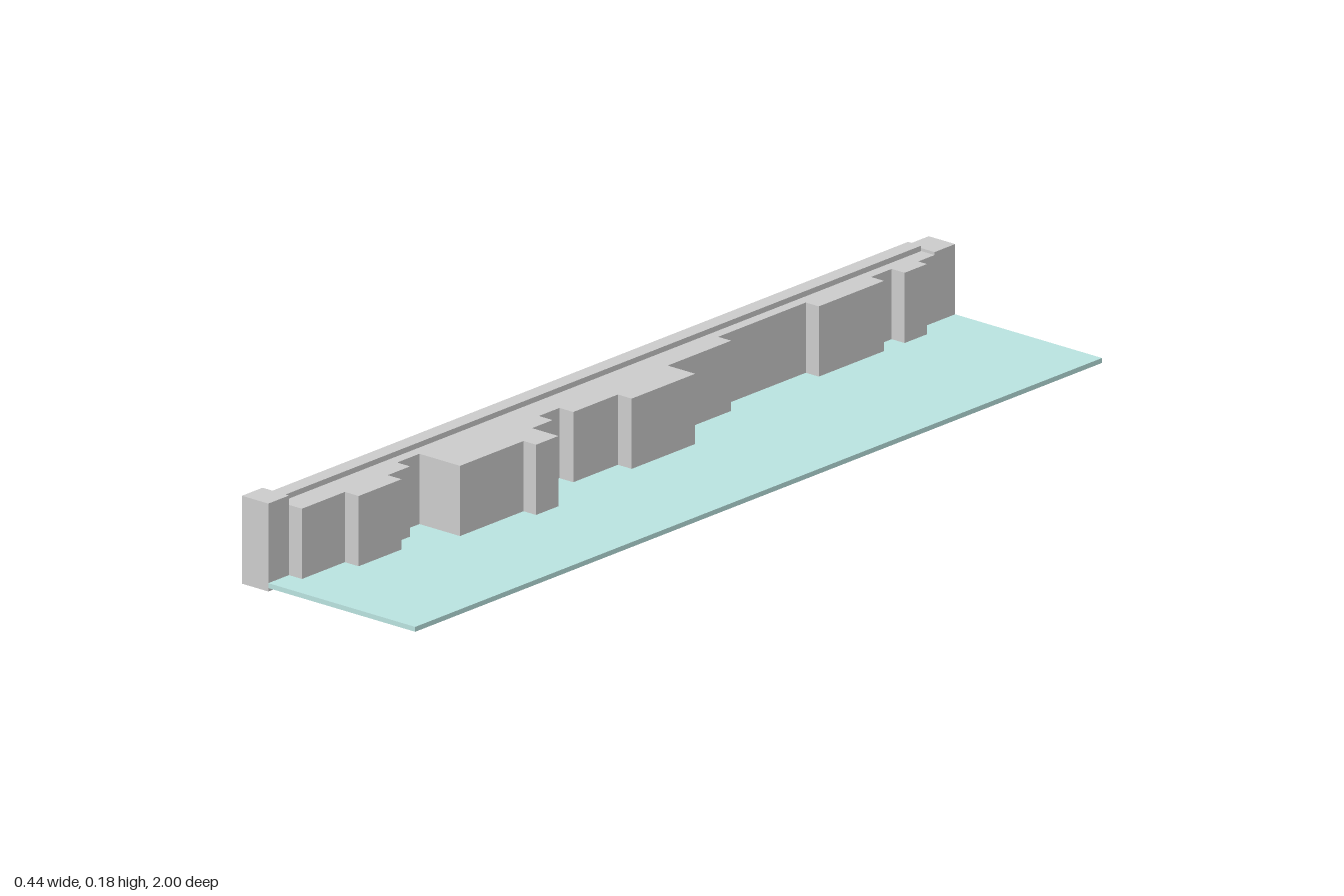
import * as THREE from 'three';

// cliff outline: [z where the ledge ends, x of its face], from back to front
const LEDGES = [
  [-0.88, -0.153], [-0.815, -0.12], [-0.755, -0.153], [-0.565, -0.12],
  [-0.31, -0.153], [-0.125, -0.12], [0.06, -0.05], [0.19, -0.085],
  [0.25, -0.12], [0.31, -0.085], [0.375, -0.018], [0.56, -0.05],
  [0.625, -0.153], [0.69, -0.12], [0.815, -0.085], [0.94, -0.12], [1, -0.153],
];
const BACK = -0.22, MID = -0.187, FACE = -0.153, EDGE = 0.22;

export function createModel() {
  const group = new THREE.Group();
  const grey = new THREE.MeshStandardMaterial({ color: 0xcccccc, flatShading: true });
  const teal = new THREE.MeshStandardMaterial({ color: 0xb9e2df, flatShading: true });

  const add = (name, geometry, material) => {
    const mesh = new THREE.Mesh(geometry, material);
    mesh.name = name;
    group.add(mesh);
  };

  // box given by its limits on each axis
  const box = (name, material, x0, x1, y0, y1, z0, z1) => {
    const g = new THREE.BoxGeometry(x1 - x0, y1 - y0, z1 - z0);
    g.translate((x0 + x1) / 2, (y0 + y1) / 2, (z0 + z1) / 2);
    add(name, g, material);
  };

  // flat slab from a plan outline in x and z
  const slab = (name, material, points, y0, y1) => {
    const shape = new THREE.Shape(points.map(([x, z]) => new THREE.Vector2(x, z)));
    const g = new THREE.ExtrudeGeometry(shape, { depth: y1 - y0, bevelEnabled: false });
    g.rotateX(Math.PI / 2);
    g.translate(0, y1, 0);
    add(name, g, material);
  };

  // stepped line shared by the cliff and the water
  const steps = [];
  let z = -1;
  for (const [end, x] of LEDGES) {
    steps.push([x, z], [x, end]);
    z = end;
  }

  // water sheet, cut to the cliff line
  slab('waterSheet', teal, [...steps, [EDGE, 1], [EDGE, -1]], 0.01, 0.02);

  // cliff ledges, resting at water level (ends of the line lie on the wall)
  const inner = steps.filter(([, sz]) => sz >= -0.88 && sz <= 0.94).slice(1, -1);
  slab('cliff', grey, [[FACE - 0.01, -0.88], ...inner, [FACE - 0.01, 0.94]], 0.02, 0.163);

  // back wall with a raised rim and a shallow channel in front of it
  box('backRim', grey, BACK, MID, 0.003, 0.168, -0.94, 0.94);
  box('wallChannel', grey, MID, FACE, 0.004, 0.157, -0.94, 0.94);
  box('backEndPost', grey, BACK, FACE, 0.003, 0.163, -1, -0.94);
  box('frontEndPost', grey, BACK, FACE, 0.003, 0.182, 0.94, 1);

  // thin footing strip
  box('footing', teal, BACK, MID, 0, 0.003, -0.94, 0.94);

  return group;
}
